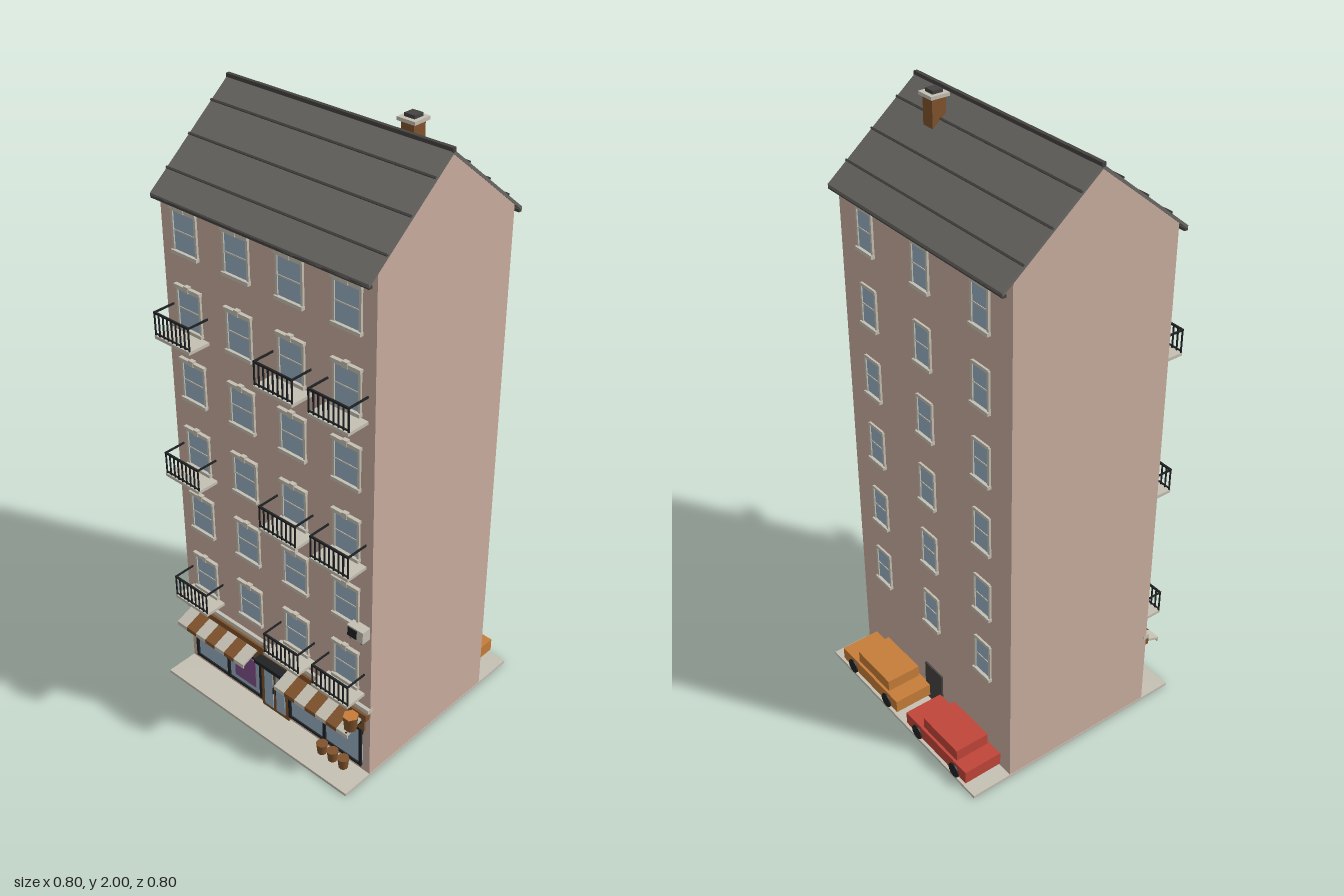
import * as THREE from 'three';

const mat = (name, color) => {
  const m = new THREE.MeshStandardMaterial({ color });
  m.name = name;
  return m;
};

export function createModel() {
  const wall = mat('plaster', 0xc9ae9e), trim = mat('stone trim', 0xc5c0b3), roofMat = mat('slate', 0x6b6965);
  const dark = mat('dark grey', 0x454341), black = mat('black iron', 0x202224), glass = mat('glass', 0x98b0c3);
  const brown = mat('brown wood', 0x80532c), red = mat('red paint', 0xbf4539), orange = mat('orange paint', 0xc67d38);
  const purple = mat('purple poster', 0x7f5088);

  const model = new THREE.Group();
  model.name = 'townhouse';
  const group = (name, parent = model) => {
    const g = new THREE.Group();
    g.name = name;
    parent.add(g);
    return g;
  };
  const add = (parent, name, geo, m) => {
    const mesh = new THREE.Mesh(geo, m);
    mesh.name = name;
    parent.add(mesh);
    return mesh;
  };
  // Box given by its min and max on each axis
  const box = (parent, name, m, x0, x1, y0, y1, z0, z1) => {
    const b = add(parent, name, new THREE.BoxGeometry(x1 - x0, y1 - y0, z1 - z0), m);
    b.position.set((x0 + x1) / 2, (y0 + y1) / 2, (z0 + z1) / 2);
    return b;
  };
  // Side profile of [z, y] points, extruded from x0 to x1
  const profile = (parent, name, m, pts, x0, x1) => {
    const shape = new THREE.Shape(pts.map(p => new THREE.Vector2(p[0], p[1])));
    const geo = new THREE.ExtrudeGeometry(shape, { depth: x1 - x0, bevelEnabled: false });
    geo.rotateY(-Math.PI / 2);
    geo.translate(x1, 0, 0);
    return add(parent, name, geo, m);
  };

  const FRONT = 0.29, BACK = -0.26, RIDGE = 0.015;

  // Pavement and main block with gables
  box(model, 'pavement', trim, -0.4, 0.4, 0, 0.01, -0.4, 0.4);
  profile(model, 'walls', wall,
    [[BACK, 0.005], [FRONT, 0.005], [FRONT, 1.736], [RIDGE, 1.962], [BACK, 1.736]], -0.399, 0.399);

  // Roof with seams, ridge and gutters
  const roof = group('roof');
  profile(roof, 'roofSlopes', roofMat, [[-0.293, 1.71], [RIDGE, 1.961], [0.323, 1.71],
    [0.323, 1.72], [RIDGE, 1.973], [-0.293, 1.72]], -0.4, 0.4);
  const slope = 0.253 / 0.308;
  for (const s of [-1, 1]) {
    for (const d of [0.067, 0.155, 0.243]) {
      const seam = add(roof, 'roofSeam', new THREE.BoxGeometry(0.8, 0.008, 0.006), dark);
      seam.position.set(0, 1.974 - d * slope, RIDGE + s * d);
      seam.rotation.x = s * Math.atan(slope);
    }
    const e = RIDGE + s * 0.302;
    box(roof, 'gutter', dark, -0.4, 0.4, 1.706, 1.714, e - 0.006, e + 0.006);
  }
  box(roof, 'ridgeCap', dark, -0.402, 0.402, 1.966, 1.979, RIDGE - 0.006, RIDGE + 0.006);

  // Chimney
  const chimney = group('chimney');
  box(chimney, 'chimneyStack', brown, 0.188, 0.232, 1.87, 1.98, -0.079, -0.033);
  box(chimney, 'chimneyCap', trim, 0.18, 0.241, 1.98, 1.99, -0.087, -0.025);
  box(chimney, 'chimneyPot', dark, 0.193, 0.228, 1.985, 2.0, -0.073, -0.039);

  // Sash window on a wall facing +z, origin at the sill centre
  const sashWindow = (x, y, z, back) => {
    const g = group(back ? 'backWindow' : 'frontWindow');
    const w = back ? 0.036 : 0.046;
    box(g, 'windowGlass', glass, -w, w, 0.01, 0.135, -0.002, 0.003);
    for (const s of [-1, 1]) box(g, 'windowJamb', trim, s * w - 0.004, s * w + 0.004, 0.01, 0.135, -0.002, 0.007);
    box(g, 'windowHead', trim, -w, w, 0.128, 0.138, -0.002, 0.007);
    box(g, 'windowRail', trim, -w, w, 0.069, 0.073, -0.002, 0.005);
    box(g, 'windowSill', trim, -w - 0.006, w + 0.006, 0, 0.011, -0.002, 0.013);
    if (!back) {
      box(g, 'windowLintel', trim, -w - 0.007, w + 0.007, 0.135, 0.145, -0.002, 0.012);
      box(g, 'keystone', trim, -0.009, 0.009, 0.132, 0.151, -0.002, 0.014);
    }
    g.position.set(x, y, z);
    if (back) g.rotation.y = Math.PI;
  };

  // Balcony with iron railing
  const balcony = (x, y) => {
    const g = group('balcony');
    box(g, 'balconyFloor', trim, -0.073, 0.073, 0, 0.01, 0, 0.078);
    box(g, 'frontRail', black, -0.073, 0.073, 0.081, 0.087, 0.071, 0.077);
    box(g, 'bottomRail', black, -0.073, 0.073, 0.014, 0.018, 0.072, 0.076);
    for (const s of [-1, 1]) box(g, 'sideRail', black, s * 0.071 - 0.002, s * 0.071 + 0.002, 0.081, 0.087, 0, 0.074);
    for (let i = 0; i < 9; i++) {
      const bx = -0.071 + i * 0.01775;
      box(g, 'baluster', black, bx - 0.002, bx + 0.002, 0.01, 0.084, 0.072, 0.076);
    }
    g.position.set(x, y, FRONT);
  };

  const columns = [-0.302, -0.1, 0.1, 0.302];
  for (let row = 0; row < 6; row++) {
    const y = 0.34 + row * 0.2415;
    columns.forEach((x, c) => {
      sashWindow(x, y, FRONT, false);
      if (row % 2 === 0 && c !== 1) balcony(x, y - 0.015);
    });
    for (const x of [-0.267, 0, 0.267]) sashWindow(x, y, BACK, true);
  }

  // Shopfront: cornice, fascia, windows
  const shop = group('shopfront');
  box(shop, 'cornice', trim, -0.4, 0.4, 0.27, 0.286, FRONT - 0.01, 0.302);
  box(shop, 'fascia', brown, -0.395, 0.395, 0.24, 0.264, FRONT - 0.01, 0.306);
  box(shop, 'signBoard', brown, -0.38, 0.38, 0.185, 0.24, FRONT - 0.01, 0.297);
  for (const s of [-1, 1]) {
    const x0 = s < 0 ? -0.372 : 0.06, x1 = x0 + 0.312, xm = (x0 + x1) / 2;
    box(shop, 'shopGlass', glass, x0, x1, 0.03, 0.185, FRONT - 0.01, 0.294);
    for (const x of [x0 + 0.005, xm, x1 - 0.005]) box(shop, 'shopMullion', black, x - 0.005, x + 0.005, 0.03, 0.187, FRONT, 0.3);
    for (const y of [0.03, 0.179]) box(shop, 'shopFrameBar', black, x0, x1, y, y + 0.009, FRONT, 0.299);

    // Striped awning
    const awning = group('awning', shop), start = s < 0 ? -0.378 : 0.068;
    for (let i = 0; i < 7; i++) {
      profile(awning, 'awningStripe', i % 2 ? brown : trim, [[0.295, 0.238], [0.363, 0.212], [0.363, 0.204],
        [0.368, 0.204], [0.368, 0.219], [0.295, 0.247]], start + i * 0.044, start + (i + 1) * 0.044);
    }
  }
  box(shop, 'poster', purple, -0.186, -0.09, 0.058, 0.17, 0.293, 0.297);

  // Shop door with two glazed leaves and a canopy
  const door = group('shopDoor', shop);
  box(door, 'doorPanel', brown, -0.06, 0.06, 0.01, 0.207, FRONT - 0.01, 0.298);
  for (const s of [-1, 1]) {
    box(door, 'doorGlass', glass, s * 0.026 - 0.019, s * 0.026 + 0.019, 0.025, 0.195, 0.296, 0.301);
    box(door, 'doorHandle', black, s * 0.005 - 0.0015, s * 0.005 + 0.0015, 0.09, 0.115, 0.298, 0.303);
  }
  box(door, 'doorCanopy', black, -0.062, 0.062, 0.209, 0.224, FRONT, 0.328);

  // Planter barrels beside the shop window
  for (const x of [0.229, 0.274, 0.319]) {
    const barrel = add(shop, 'barrel', new THREE.CylinderGeometry(0.019, 0.015, 0.038, 12), brown);
    barrel.position.set(x, 0.029, 0.322);
  }

  // Hanging lantern at the corner
  const lantern = add(shop, 'lantern', new THREE.CylinderGeometry(0.025, 0.02, 0.052, 6), [brown, orange, brown]);
  lantern.position.set(0.368, 0.252, 0.343);
  lantern.rotation.y = Math.PI / 6;
  box(shop, 'lanternBracket', black, 0.365, 0.371, 0.216, 0.222, FRONT, 0.365);

  // Air conditioner
  const ac = group('airConditioner');
  box(ac, 'acCase', trim, 0.332, 0.393, 0.56, 0.602, FRONT, 0.322);
  box(ac, 'acGrille', black, 0.336, 0.37, 0.566, 0.597, 0.32, 0.325);
  for (const x of [0.342, 0.384]) box(ac, 'acBracket', dark, x - 0.003, x + 0.003, 0.552, 0.56, FRONT, 0.318);

  // Back door
  box(model, 'backDoor', dark, -0.045, 0.045, 0.01, 0.155, BACK - 0.006, BACK + 0.01);

  // Parked cars
  const car = (name, x, paint) => {
    const g = group(name);
    box(g, 'carBody', paint, -0.16, 0.16, 0.026, 0.071, -0.398, -0.264);
    box(g, 'carCabin', paint, -0.103, 0.074, 0.07, 0.111, -0.389, -0.27);
    for (const wx of [-0.1, 0.1]) for (const wz of [-0.394, -0.269]) {
      const wheel = add(g, 'wheel', new THREE.CylinderGeometry(0.025, 0.025, 0.016, 12), black);
      wheel.rotation.x = Math.PI / 2;
      wheel.position.set(wx, 0.034, wz);
    }
    g.position.x = x;
  };
  car('redCar', -0.195, red);
  car('orangeCar', 0.182, orange);

  return model;
}
